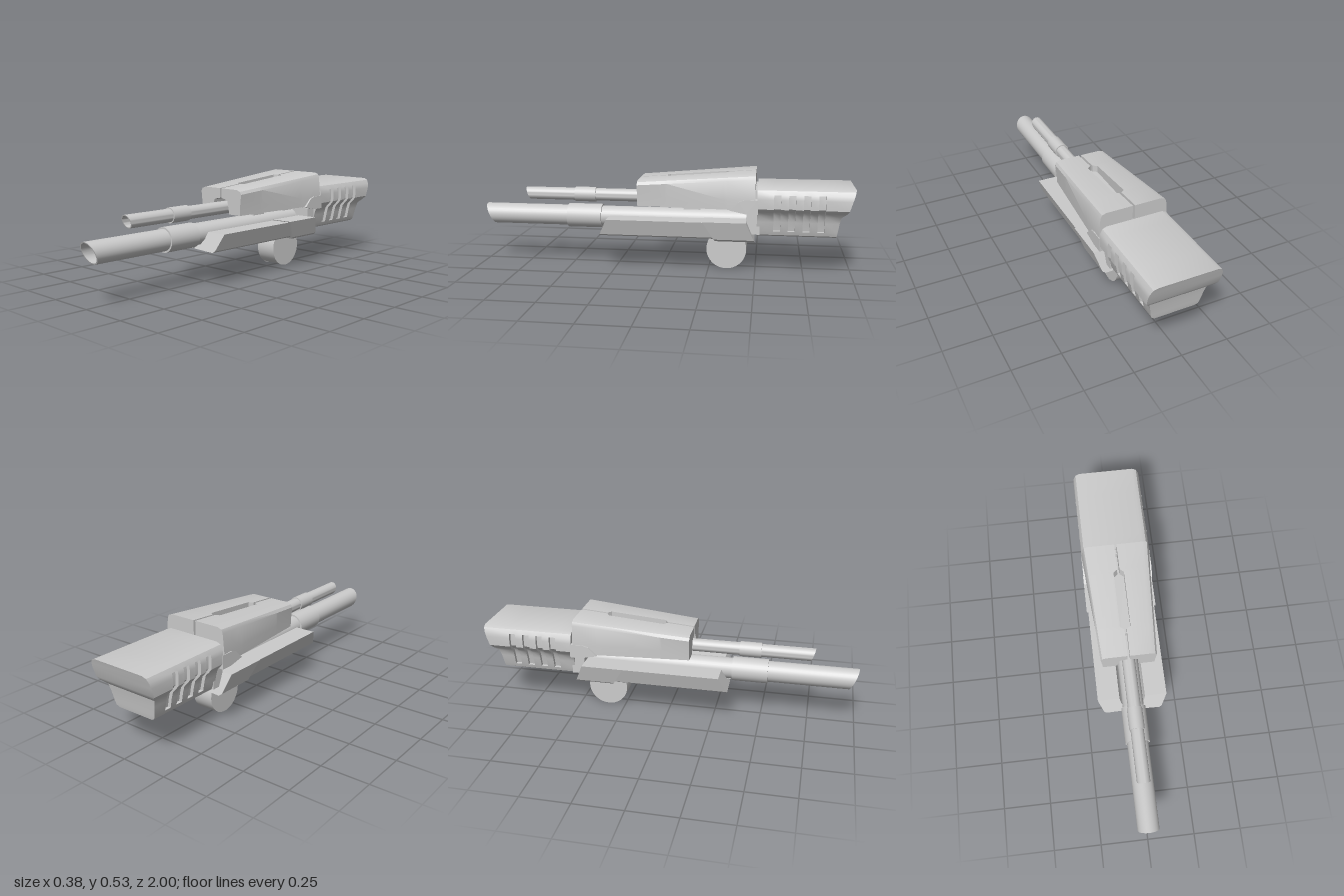
import * as THREE from 'three';
import { toCreasedNormals } from 'three/addons/utils/BufferGeometryUtils.js';

const grey = new THREE.MeshStandardMaterial({ color: 0xcccccc });
const greyBoth = new THREE.MeshStandardMaterial({ color: 0xcccccc, side: THREE.DoubleSide });

// Skins closed rings (counter-clockwise from the front, listed front to back) and caps the ends.
function loft(rings) {
  const n = rings[0].length, index = [];
  for (let s = 0; s < rings.length - 1; s++) {
    for (let i = 0; i < n; i++) {
      const a = s * n + i, b = s * n + (i + 1) % n;
      index.push(a, a + n, b, b, a + n, b + n);
    }
  }
  const last = (rings.length - 1) * n;
  for (let i = 0; i < n / 2 - 1; i++) {
    const a = i, b = i + 1, c = n - 2 - i, d = n - 1 - i;
    index.push(a, b, c, a, c, d);
    index.push(last + a, last + c, last + b, last + a, last + d, last + c);
  }
  const geo = new THREE.BufferGeometry();
  geo.setAttribute('position', new THREE.Float32BufferAttribute(rings.flat(2), 3));
  geo.setIndex(index);
  return toCreasedNormals(geo, 0.5);
}

const mirrorRing = (ring) => ring.map(([x, y, z]) => [-x, y, z]).reverse();
const lerp = THREE.MathUtils.lerp;

export function createModel() {
  const model = new THREE.Group();
  const add = (name, geo, mat = grey) => {
    const mesh = new THREE.Mesh(geo, mat);
    mesh.name = name;
    model.add(mesh);
    return mesh;
  };
  const box = (name, w, y0, y1, z0, z1) =>
    add(name, new THREE.BoxGeometry(w, y1 - y0, z1 - z0)).position.set(0, (y0 + y1) / 2, (z0 + z1) / 2);
  const pair = (name, rings) => {
    add('left' + name, loft(rings));
    add('right' + name, loft(rings.map(mirrorRing)));
  };

  // Barrels: hollow tubes whose muzzles are cut at a slant
  function barrel(name, y, r, inner, back, front, slant) {
    const pts = [[0, back], [r, back], [r, front], [inner, front], [inner, front - 0.2], [0, front - 0.2]];
    const geo = new THREE.LatheGeometry(pts.map((p) => new THREE.Vector2(...p)), 32).rotateX(Math.PI / 2);
    const pos = geo.attributes.position;
    for (let i = 0; i < pos.count; i++) {
      if (pos.getZ(i) > front - 0.01) pos.setZ(i, front + slant * pos.getY(i));
    }
    add(name, toCreasedNormals(geo, 0.6)).position.y = y;
  }
  function sleeve(name, y, r, z0, z1) {
    const geo = new THREE.CylinderGeometry(r, r, z1 - z0, 32).rotateX(Math.PI / 2);
    add(name, geo).position.set(0, y, (z0 + z1) / 2);
  }
  barrel('lowerBarrel', 0.263, 0.056, 0.05, -0.48, 0.976, 0.43);
  sleeve('lowerBarrelSleeve', 0.263, 0.065, 0.34, 0.53);
  barrel('upperBarrel', 0.382, 0.034, 0.029, -0.48, 0.757, 0.36);
  sleeve('upperBarrelSleeve', 0.382, 0.04, 0.375, 0.49);

  // Struts between the barrels
  box('frontStrut', 0.04, 0.3, 0.36, -0.2, -0.11);
  box('rearStrut', 0.04, 0.3, 0.36, -0.45, -0.36);

  // Top cover: two tapered halves with a centre gap that widens into a slot
  const coverFront = [[0.138, 0.352], [0.14, 0.4], [0.147, 0.463], [0.138, 0.478], [0.115, 0.486]];
  const coverRear = [[0.187, 0.352], [0.187, 0.405], [0.178, 0.51], [0.17, 0.528], [0.148, 0.536]];
  const channel = [[0.03, 0.43], [0.048, 0.423], [0.055, 0.39], [0.062, 0.352]];
  const coverStations = [[0.125, 0.006], [-0.02, 0.006], [-0.035, 0.028],
    [-0.335, 0.028], [-0.352, 0.006], [-0.495, 0.006]];
  pair('TopCover', coverStations.map(([z, gap]) => {
    const t = (0.125 - z) / 0.62;
    const outer = coverFront.map(([x, y], i) => [lerp(x, coverRear[i][0], t), lerp(y, coverRear[i][1], t)]);
    const top = outer[4][1];
    return [...outer, [gap, top], [gap, 0.46], [gap, 0.435], ...channel].map(([x, y]) => [x, y, z]);
  }));
  box('slotFloor', 0.06, 0.43, 0.462, -0.36, -0.01);

  // Rear stock: wide rounded top, pinched below, four vents cut in each side
  // Each row is x, y, rear z, vent depth
  const stockProfile = [
    [0.105, 0.205, -0.913, 0], [0.122, 0.214, -0.915, 0], [0.13, 0.235, -0.918, 0], [0.13, 0.235, -0.918, 1],
    [0.14, 0.285, -0.925, 1], [0.15, 0.32, -0.932, 1], [0.172, 0.343, -0.958, 1], [0.186, 0.36, -0.968, 1],
    [0.188, 0.41, -0.983, 1], [0.184, 0.435, -0.991, 1], [0.184, 0.435, -0.991, 0],
    [0.172, 0.457, -0.997, 0], [0.15, 0.466, -1, 0],
  ];
  const stockRing = (z, depth) => {
    const half = stockProfile.map(([x, y, rear, vent]) => [x - depth * vent, y, z ?? rear]);
    return [...half, ...mirrorRing(half)];
  };
  const stockRings = [stockRing(-0.505, 0)];
  for (let i = 0; i < 4; i++) {
    const z = -0.59 - i * 0.075;
    stockRings.push(stockRing(z, 0), stockRing(z, 0.018), stockRing(z - 0.036, 0.018), stockRing(z - 0.036, 0));
  }
  stockRings.push(stockRing(null, 0));
  add('rearStock', loft(stockRings));
  box('stockNeck', 0.27, 0.215, 0.33, -0.52, -0.45);
  box('coverJoint', 0.27, 0.3, 0.45, -0.52, -0.48);

  // Pointed fairings joining the stock to the cover
  const fairing = new THREE.Shape([[-0.365, 0.35], [-0.45, 0.332], [-0.51, 0.332], [-0.51, 0.405],
    [-0.44, 0.405], [-0.41, 0.395]].map((p) => new THREE.Vector2(...p)));
  for (const [name, x] of [['rightFairing', -0.119], ['leftFairing', 0.189]]) {
    const geo = new THREE.ExtrudeGeometry(fairing, { depth: 0.07, bevelEnabled: false });
    add(name, geo.rotateY(-Math.PI / 2).translate(x, 0, 0));
  }

  // Lower side pods and the thicker collars around their rear, with slanted ends
  const slanted = (profile, z, slope) => profile.map(([x, y]) => [x, y, z + slope * (y - 0.18)]);
  const pod = [[0.008, 0.192], [0.142, 0.187], [0.156, 0.196], [0.184, 0.281],
    [0.068, 0.28], [0.06, 0.245], [0.04, 0.215], [0.008, 0.2]];
  const collar = [[0.004, 0.183], [0.147, 0.176], [0.163, 0.188], [0.192, 0.285],
    [0.068, 0.284], [0.06, 0.24], [0.04, 0.21], [0.004, 0.195]];
  pair('SidePod', [slanted(pod, 0.334, -0.48), slanted(pod, -0.48, 0.43)]);
  pair('PodCollar', [slanted(collar, -0.287, 0.6), slanted(collar, -0.495, 0.43)]);

  // Drum under the body, its wall open along the lower front
  const deg = Math.PI / 180, drum = new THREE.Group();
  drum.name = 'drum';
  drum.position.set(0, 0.112, -0.345);
  const wall = new THREE.CylinderGeometry(0.107, 0.107, 0.116, 40, 1, true, 301 * deg, 324 * deg);
  const drumWall = new THREE.Mesh(wall.rotateZ(Math.PI / 2), greyBoth);
  drumWall.name = 'drumWall';
  drum.add(drumWall);
  for (const side of [-1, 1]) {
    const end = new THREE.Mesh(new THREE.CircleGeometry(0.107, 40), greyBoth);
    end.name = 'drumEnd';
    end.rotation.y = side * Math.PI / 2;
    end.position.x = side * 0.058;
    drum.add(end);
  }
  model.add(drum);
  return model;
}
